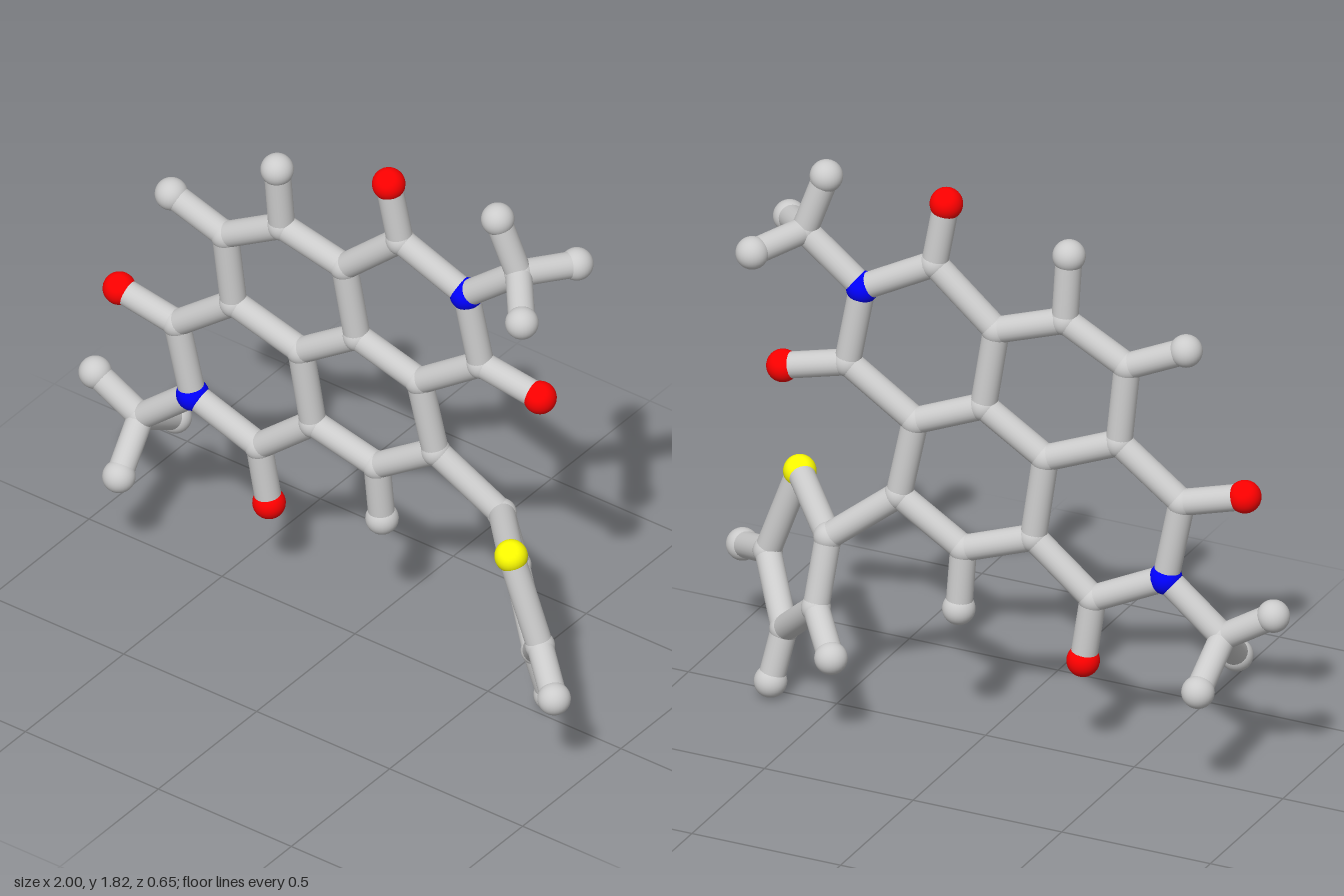
import * as THREE from 'three';

const BALL = 0.051, STICK = 0.041;
const mat = (color) => new THREE.MeshStandardMaterial({ color });
const materials = { C: mat(0xcccccc), H: mat(0xcccccc), N: mat(0x0000ff), O: mat(0xff0000), S: mat(0xffff00) };
const names = { C: 'carbon', H: 'hydrogen', N: 'nitrogen', O: 'oxygen', S: 'sulfur' };

// The fused rings lie in one slightly tilted plane
const planeZ = (x, y) => -0.066 - 0.08 * x + 0.056 * y;

// Each atom: element, x, y and, when it is off the ring plane, z
const fusedRings = {
  a1: ['C', -0.455, 1.32], a2: ['C', -0.25, 1.435], a3: ['C', -0.03, 1.365],
  a4: ['C', 0.005, 1.11], a5: ['C', -0.2, 0.975], a6: ['C', -0.435, 1.066],
  b1: ['C', 0.175, 1.547], b2: ['N', 0.405, 1.43], b3: ['C', 0.447, 1.178],
  b4: ['C', 0.223, 1.024], c1: ['C', 0.27, 0.773], c2: ['C', 0.057, 0.634],
  c3: ['C', -0.167, 0.709], d1: ['C', -0.365, 0.543], d2: ['N', -0.597, 0.65],
  d3: ['C', -0.643, 0.906],
  o1: ['O', 0.142, 1.75], o2: ['O', 0.655, 1.13], o3: ['O', -0.338, 0.335], o4: ['O', -0.845, 0.96],
  h1: ['H', -0.643, 1.403], h2: ['H', -0.258, 1.648], h3: ['H', 0.067, 0.435],
};
const methyls = {
  m: ['C', 0.597, 1.585], mA: ['H', 0.533, 1.771, -0.005],
  mB: ['H', 0.72, 1.54, 0.125], mC: ['H', 0.69, 1.562, -0.195],
  n: ['C', -0.787, 0.49], nA: ['H', -0.951, 0.59, 0.035],
  nB: ['H', -0.79, 0.383, -0.155], nC: ['H', -0.762, 0.361, 0.17],
};
const sideRing = {
  t1: ['C', 0.485, 0.607, -0.09], t2: ['S', 0.698, 0.677, 0.15], t3: ['C', 0.805, 0.388, 0.148],
  t4: ['C', 0.672, 0.223, -0.01], t5: ['C', 0.5, 0.388, -0.145],
  tA: ['H', 0.95, 0.324, 0.272], tB: ['H', 0.703, 0.053, -0.042], tC: ['H', 0.387, 0.298, -0.273],
};

// Chains of bonded atoms
const chains = {
  fusedRings: [
    'a1 a2 a3 a4 a5 a6 a1', 'a3 b1 b2 b3 b4 a4', 'b4 c1 c2 c3 a5', 'c3 d1 d2 d3 a6',
    'b1 o1', 'b3 o2', 'd1 o3', 'd3 o4', 'a1 h1', 'a2 h2', 'c2 h3',
  ],
  methyls: ['b2 m mA', 'm mB', 'm mC', 'd2 n nA', 'n nB', 'n nC'],
  sideRing: ['c1 t1 t2 t3 t4 t5 t1', 't3 tA', 't4 tB', 't5 tC'],
};

export function createModel() {
  const model = new THREE.Group();
  model.name = 'molecule';
  const ball = new THREE.SphereGeometry(BALL, 28, 18);
  const stick = new THREE.CylinderGeometry(STICK, STICK, 1, 24, 1, true);
  const up = new THREE.Vector3(0, 1, 0);
  const place = {};

  for (const [part, atoms] of Object.entries({ fusedRings, methyls, sideRing })) {
    const group = new THREE.Group();
    group.name = part;
    model.add(group);

    // Atoms
    for (const [key, [element, x, y, z = planeZ(x, y)]] of Object.entries(atoms)) {
      const atom = new THREE.Mesh(ball, materials[element]);
      atom.name = names[element] + 'Atom';
      // Carbon joints blend into the sticks
      if (element === 'C') atom.scale.setScalar(0.9);
      atom.position.set(x, y, z);
      place[key] = atom.position;
      group.add(atom);
    }

    // Bonds
    for (const chain of chains[part]) {
      const keys = chain.split(' ');
      for (let i = 1; i < keys.length; i++) {
        const from = place[keys[i - 1]], to = place[keys[i]];
        const span = to.clone().sub(from);
        const bond = new THREE.Mesh(stick, materials.C);
        bond.name = 'bond';
        bond.scale.y = span.length();
        bond.position.copy(from).addScaledVector(span, 0.5);
        bond.quaternion.setFromUnitVectors(up, span.normalize());
        group.add(bond);
      }
    }
  }
  return model;
}
